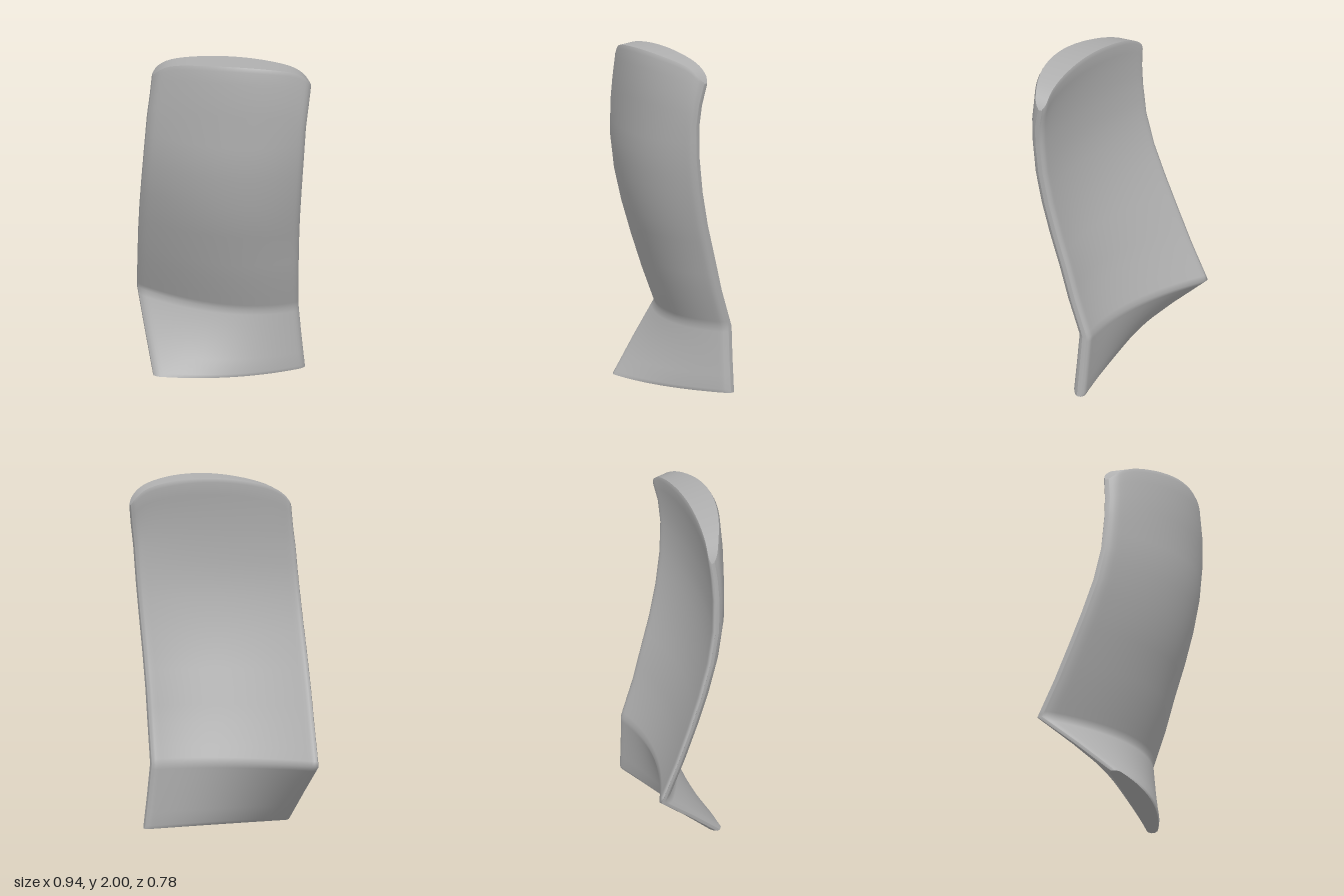
import * as THREE from 'three';

// Height, left-end x, right-end x, back z at both ends, back bulge, middle thickness
const KEYS = [
  [0.00, -0.415, 0.465, 0.03, 0.025, 0.00, 0.150],
  [0.20, -0.432, 0.445, -0.19, 0.015, 0.05, 0.140],
  [0.38, -0.445, 0.430, -0.40, 0.005, 0.10, 0.135],
  [0.60, -0.457, 0.419, -0.295, 0.08, 0.095, 0.140],
  [0.80, -0.466, 0.413, -0.21, 0.135, 0.09, 0.145],
  [1.00, -0.470, 0.410, -0.13, 0.195, 0.085, 0.150],
  [1.20, -0.468, 0.413, -0.06, 0.245, 0.075, 0.150],
  [1.40, -0.460, 0.420, -0.015, 0.28, 0.068, 0.150],
  [1.60, -0.446, 0.430, 0.00, 0.295, 0.06, 0.150],
  [1.80, -0.430, 0.446, 0.00, 0.29, 0.05, 0.170],
  [2.00, -0.415, 0.465, -0.01, 0.265, 0.037, 0.190],
];
const EDGE = 0.065; // thickness near both long edges
const N = 32; // points across each face

function keyAt(v) {
  let i = 0;
  while (i < KEYS.length - 2 && v > KEYS[i + 1][0]) i++;
  const t = (v - KEYS[i][0]) / (KEYS[i + 1][0] - KEYS[i][0]);
  return KEYS[i].map((a, k) => a + (KEYS[i + 1][k] - a) * t);
}

// Closed cross-section: back face from +x to -x, then front face back to +x
function ring(v, shrink = 1) {
  const [, xl, xr, zl, zr, bulge, mid] = keyAt(v);
  const point = (s, side) => {
    const k = 1 - s * s;
    const back = zl + (zr - zl) * (s + 1) / 2 + bulge * k;
    const thick = EDGE + (mid - EDGE) * k;
    const r = Math.max(0, (Math.abs(s) - 0.93) / 0.07);
    const half = thick / 2 * Math.max(0.4, Math.sqrt(1 - r * r)) * shrink;
    const top = 2 - 0.08 * s * s - 0.07 * Math.pow(s, 10); // arched upper end
    const y = v <= 1.6 ? v : 1.6 + (v - 1.6) * (top - 1.6) / 0.4;
    return [xl + (xr - xl) * (s + 1) / 2, y, back + thick / 2 + side * half];
  };
  const out = [];
  for (let i = 0; i < N; i++) out.push(point(Math.cos(Math.PI * i / (N - 1)), -1));
  for (let i = 0; i < N; i++) out.push(point(-Math.cos(Math.PI * i / (N - 1)), 1));
  return out;
}

function build(points, index) {
  const g = new THREE.BufferGeometry();
  g.setAttribute('position', new THREE.Float32BufferAttribute(points.flat(), 3));
  g.setIndex(index);
  g.computeVertexNormals();
  return g;
}

// Smooth skin lofted through the cross-sections
function skin(rings) {
  const m = 2 * N, index = [];
  for (let j = 0; j < rings.length - 1; j++) {
    for (let i = 0; i < m; i++) {
      const a = j * m + i, b = j * m + (i + 1) % m;
      index.push(a, b, b + m, a, b + m, a + m);
    }
  }
  return build(rings.flat(), index);
}

// Lens-shaped end face joining back to front
function cap(section, up) {
  const index = [];
  for (let k = 0; k < N - 1; k++) {
    const a = k, b = k + 1, c = 2 * N - 2 - k, d = 2 * N - 1 - k;
    if (up) index.push(a, b, c, a, c, d);
    else index.push(a, c, b, a, d, c);
  }
  return build(section, index);
}

export function createModel() {
  const group = new THREE.Group();
  group.name = 'curvedPlate';
  const grey = new THREE.MeshStandardMaterial({ color: 0xb0b0b0 });
  grey.name = 'plain grey';

  const levels = [0.02, 0.1, 0.2, 0.29, 0.35, 0.38, 0.41, 0.47];
  for (let v = 0.6; v < 1.95; v += 0.1) levels.push(v);
  levels.push(1.975);

  // Slightly narrowed end sections give the rims a soft bevel
  const bottom = ring(0, 0.85), top = ring(2, 0.88);
  const rings = [bottom, ...levels.map((v) => ring(v)), top];

  const add = (name, geometry) => {
    const mesh = new THREE.Mesh(geometry, grey);
    mesh.name = name;
    group.add(mesh);
  };
  add('plateBody', skin(rings));
  add('topEnd', cap(top, true));
  add('bottomEnd', cap(bottom, false));
  return group;
}
